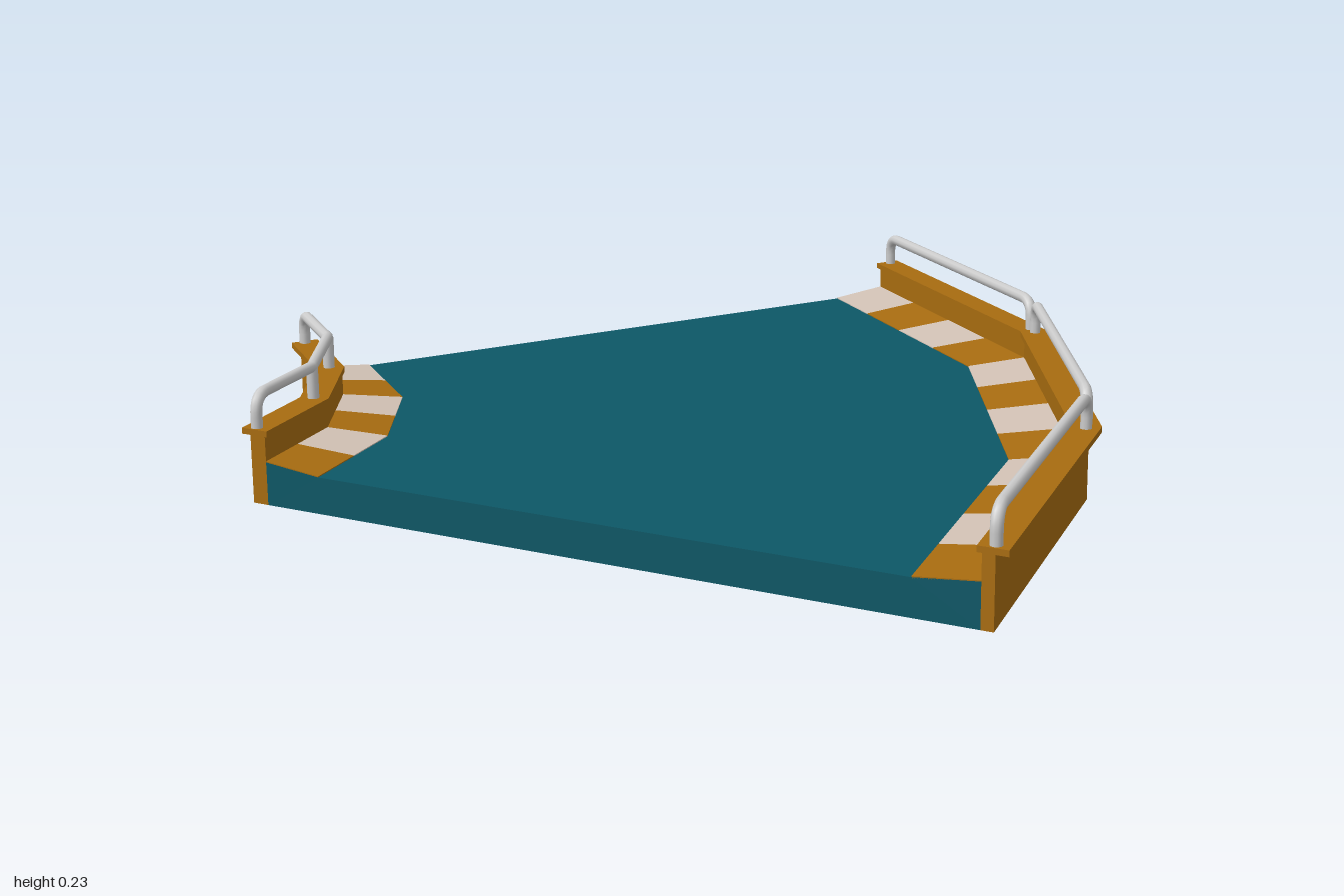
import * as THREE from 'three';

const CX = -1.33, CZ = -1;               // turning centre of the bend
const SEGMENTS = 3, STEP = Math.PI / 9;  // three straight pieces of 20 degrees

const paint = (color, extra = {}) => new THREE.MeshStandardMaterial({ color, ...extra });

// Point at radius r, height y; t runs 0..3 along the straight chords of the bend
function at(r, y, t) {
  const k = Math.min(Math.floor(t), SEGMENTS - 1), f = t - k;
  const mix = (fn) => fn(k * STEP) * (1 - f) + fn((k + 1) * STEP) * f;
  return new THREE.Vector3(CX + r * mix(Math.cos), y, CZ + r * mix(Math.sin));
}

// Sweep a counter-clockwise (r, y) profile through the stations and cap both ends
function sweep(profile, stations) {
  const pos = [];
  const tri = (...pts) => pts.forEach((p) => pos.push(p.x, p.y, p.z));
  const rings = stations.map((t) => profile.map(([r, y]) => at(r, y, t)));
  for (let s = 0; s < rings.length - 1; s++) {
    const a = rings[s], b = rings[s + 1];
    profile.forEach((_, i) => {
      const j = (i + 1) % profile.length;
      tri(a[i], a[j], b[j]);
      tri(a[i], b[j], b[i]);
    });
  }
  const first = rings[0], last = rings[rings.length - 1];
  const flat = profile.map(([r, y]) => new THREE.Vector2(r, y));
  for (const [i, j, k] of THREE.ShapeUtils.triangulateShape(flat, [])) {
    tri(first[k], first[j], first[i]);
    tri(last[i], last[j], last[k]);
  }
  const geo = new THREE.BufferGeometry();
  geo.setAttribute('position', new THREE.Float32BufferAttribute(pos, 3));
  geo.computeVertexNormals();
  return geo;
}

const box = (r0, r1, y0, y1) => [[r0, y0], [r1, y0], [r1, y1], [r0, y1]];

// Bent handrail from t0 to t1 with rounded ends running down into posts
function railGeometry(r, t0, t1) {
  const base = 0.14, top = 0.215, bend = 0.04;
  const path = new THREE.CurvePath();
  const corners = [];
  for (let t = Math.floor(t0) + 1; t < t1; t++) corners.push(at(r, top, t));
  const start = at(r, top, t0), end = at(r, top, t1);
  const line = [start, ...corners, end];
  const toward = (a, b) => a.clone().add(b.clone().sub(a).setLength(bend));
  const low = (p, y) => new THREE.Vector3(p.x, y, p.z);
  const inner = [toward(start, line[1]), ...corners, toward(end, line[line.length - 2])];
  path.add(new THREE.LineCurve3(low(start, base), low(start, top - bend)));
  path.add(new THREE.QuadraticBezierCurve3(low(start, top - bend), start, inner[0]));
  for (let i = 0; i < inner.length - 1; i++) path.add(new THREE.LineCurve3(inner[i], inner[i + 1]));
  path.add(new THREE.QuadraticBezierCurve3(inner[inner.length - 1], end, low(end, top - bend)));
  path.add(new THREE.LineCurve3(low(end, top - bend), low(end, base)));
  return new THREE.TubeGeometry(path, 80, 0.012, 10, false);
}

export function createModel() {
  const model = new THREE.Group();
  const orange = paint(0xa86c10, { flatShading: true });
  const teal = paint(0x0d5766, { flatShading: true });
  const cream = paint(0xd2c2b5, { flatShading: true });
  const grey = paint(0xcccccc);
  const whole = [0, 1, 2, 3];

  const add = (name, geometry, material) => {
    const mesh = new THREE.Mesh(geometry, material);
    mesh.name = name;
    model.add(mesh);
    return mesh;
  };

  // Road slab, rising slightly towards both walls
  add('roadSlab', sweep([
    [0.745, 0], [2.26, 0], [2.26, 0.087], [2.13, 0.074], [0.87, 0.074], [0.745, 0.087],
  ], whole), teal);

  // Walls with a wider capping strip
  add('innerWall', sweep(box(0.71, 0.745, 0, 0.14), whole), orange);
  add('innerWallCap', sweep(box(0.69, 0.75, 0.138, 0.15), whole), orange);
  add('outerWall', sweep(box(2.26, 2.285, 0, 0.14), whole), orange);
  add('outerWallCap', sweep(box(2.25, 2.31, 0.138, 0.15), whole), orange);

  // Striped kerbs: alternating thin blocks lying on the sloped edges
  const kerb = (name, profile, perSegment) => {
    for (let i = 0; i < SEGMENTS * perSegment; i++) {
      const stations = [i / perSegment, (i + 1) / perSegment];
      add(name, sweep(profile, stations), i % 2 ? orange : cream);
    }
  };
  kerb('innerKerbStripe', [[0.745, 0.085], [0.87, 0.072], [0.87, 0.076], [0.745, 0.089]], 2);
  kerb('outerKerbStripe', [[2.13, 0.072], [2.26, 0.085], [2.26, 0.089], [2.13, 0.076]], 4);

  // Outer handrails: one separate hoop on each straight piece
  for (let k = 0; k < SEGMENTS; k++) {
    add('outerRail', railGeometry(2.282, k + 0.02, k + 0.98), grey);
  }

  // Inner handrail: one continuous bar with posts at the corners
  add('innerRail', railGeometry(0.718, 0.06, 2.94), grey);
  for (const t of [1, 2]) {
    const post = add('innerRailPost', new THREE.CylinderGeometry(0.012, 0.012, 0.075, 10), grey);
    post.position.copy(at(0.718, 0.1775, t));
  }

  return model;
}
